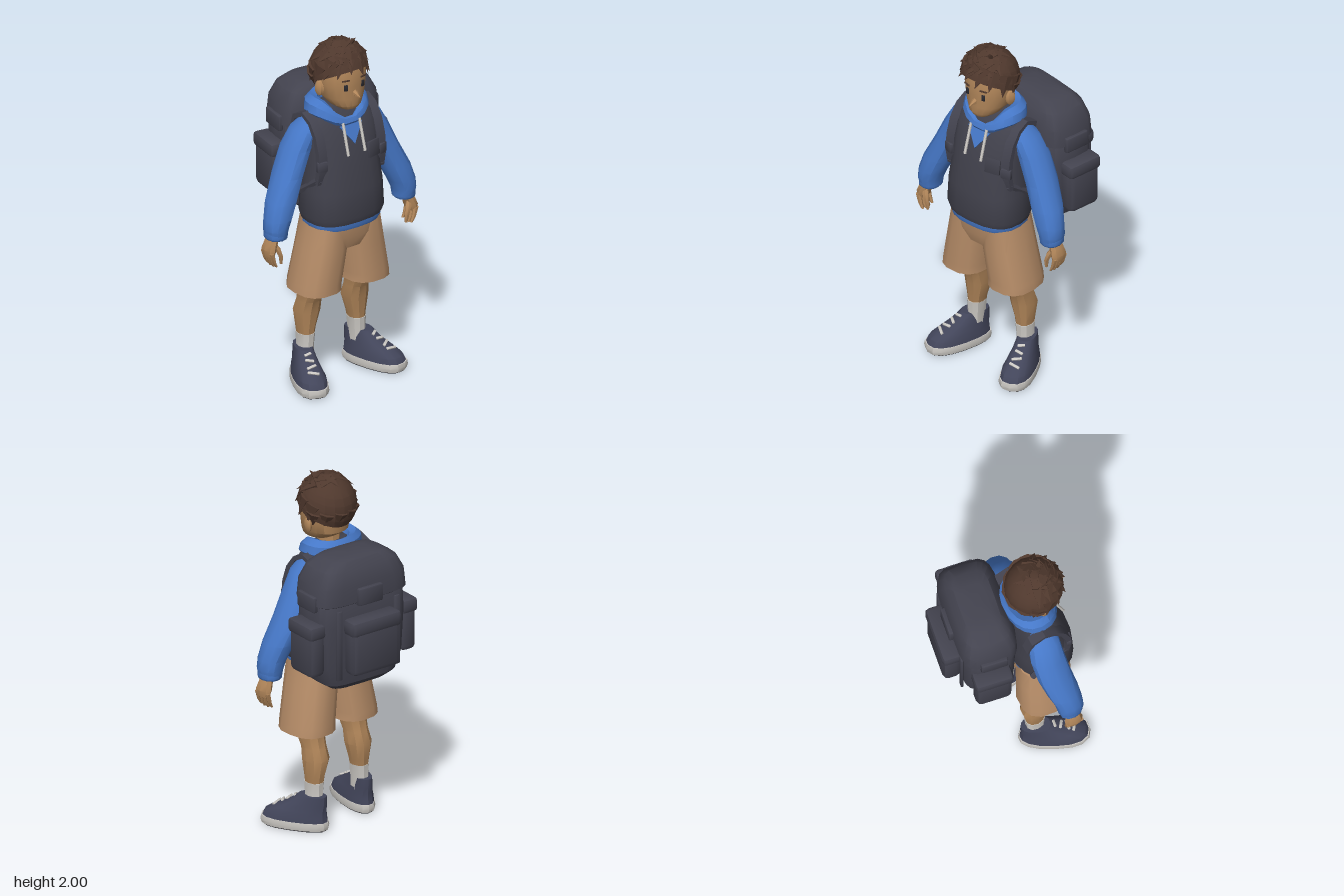
import * as THREE from 'three';
import { toCreasedNormals } from 'three/addons/utils/BufferGeometryUtils.js';
import { RoundedBoxGeometry } from 'three/addons/geometries/RoundedBoxGeometry.js';

const mat = (name, color) => Object.assign(new THREE.MeshStandardMaterial({ color }), { name });
const V = (x, y, z) => new THREE.Vector3(x, y, z);

// Stack of horizontal superellipse rings [y, cx, cz, rx, rz, frontDip], bottom to top, capped
function loft(rings, segs = 14, power = 2.2) {
  const pos = [], idx = [];
  for (const [y, cx, cz, rx, rz, dip = 0] of rings) {
    for (let j = 0; j < segs; j++) {
      const a = (j / segs) * Math.PI * 2, c = Math.cos(a), s = Math.sin(a), e = 2 / power;
      pos.push(cx + rx * Math.sign(c) * Math.abs(c) ** e,
        y - dip * Math.max(0, s) ** 3,
        cz + rz * Math.sign(s) * Math.abs(s) ** e);
    }
  }
  const n = rings.length, first = n * segs, last = first + 1;
  for (const r of [rings[0], rings[n - 1]]) pos.push(r[1], r[0] - (r[5] || 0) * 0.3, r[2]);
  for (let j = 0; j < segs; j++) {
    const k = (j + 1) % segs;
    for (let i = 0; i < n - 1; i++) {
      const a = i * segs + j, b = i * segs + k;
      idx.push(a, a + segs, b, b, a + segs, b + segs);
    }
    idx.push(first, j, k, last, (n - 1) * segs + k, (n - 1) * segs + j);
  }
  const g = new THREE.BufferGeometry();
  g.setAttribute('position', new THREE.Float32BufferAttribute(pos, 3));
  g.setIndex(idx);
  return g;
}

// Tapered flat rod from a to b; "out" is the direction its thin side faces
function rod(a, b, w, t, out, tip = 0) {
  const y = b.clone().sub(a), len = y.length();
  y.normalize();
  const x = y.clone().cross(out).normalize(), z = x.clone().cross(y);
  const m = new THREE.Matrix4().makeBasis(x, y, z).scale(V(w, len, t));
  m.setPosition(a.clone().add(b).multiplyScalar(0.5));
  return new THREE.CylinderGeometry(tip, 1, 1, 6).applyMatrix4(m);
}

export function createModel() {
  const skin = mat('skin', 0xb08559), hairMat = mat('hair brown', 0x4f382d);
  const blue = mat('hoodie blue', 0x4678c8), vestMat = mat('vest charcoal', 0x41414c);
  const packMat = mat('pack charcoal', 0x43434f), tan = mat('shorts tan', 0xb88e69);
  const shoeMat = mat('shoe navy', 0x42455a), white = mat('off white', 0xcac7c2);
  const dark = mat('dark', 0x2b2a30);
  hairMat.side = THREE.DoubleSide;

  const model = new THREE.Group();
  model.name = 'backpacker';
  const add = (name, geo, material, parent = model, crease = 0.6) => {
    const mesh = new THREE.Mesh(toCreasedNormals(geo, crease), material);
    mesh.name = name;
    parent.add(mesh);
    return mesh;
  };
  const box = (name, w, h, d, r, x, y, z, material, parent) => {
    const mesh = add(name, new RoundedBoxGeometry(w, h, d, 1, r), material, parent);
    mesh.position.set(x, y, z);
    return mesh;
  };

  // Torso
  add('vest', loft([
    [0.965, 0, 0.185, 0.222, 0.162], [1.0, 0, 0.185, 0.235, 0.172], [1.15, 0, 0.185, 0.228, 0.165],
    [1.3, 0, 0.175, 0.215, 0.15], [1.4, 0, 0.165, 0.218, 0.14], [1.5, 0, 0.155, 0.222, 0.115],
    [1.57, 0, 0.145, 0.185, 0.09], [1.62, 0, 0.14, 0.1, 0.06]], 20, 2.6), vestMat);
  add('hoodieHem', loft([[0.93, 0, 0.182, 0.208, 0.155], [0.945, 0, 0.182, 0.216, 0.16],
    [0.98, 0, 0.183, 0.216, 0.16]], 20, 2.6), blue);
  add('hood', loft([
    [1.54, 0, 0.145, 0.15, 0.115, 0.05], [1.585, 0, 0.14, 0.185, 0.14, 0.06], [1.63, 0, 0.135, 0.175, 0.137, 0.08],
    [1.66, 0, 0.135, 0.14, 0.118, 0.11], [1.645, 0, 0.14, 0.105, 0.095, 0.13], [1.57, 0, 0.14, 0.075, 0.075, 0.08]], 18), blue);
  const vee = new THREE.Shape([new THREE.Vector2(-0.075, 0.11), new THREE.Vector2(0, 0), new THREE.Vector2(0.075, 0.11)]);
  const neck = add('neckPanel', new THREE.ExtrudeGeometry(vee, { depth: 0.009, bevelEnabled: false }), blue);
  neck.position.set(0, 1.41, 0.3);
  neck.rotation.x = -0.35;
  const pocket = box('chestPocket', 0.09, 0.09, 0.014, 0.004, 0.125, 1.35, 0.304, vestMat);
  pocket.rotation.set(-0.13, 0.25, 0);

  // Head
  add('neck', loft([[1.48, 0, 0.145, 0.07, 0.065], [1.6, 0, 0.155, 0.062, 0.062], [1.7, 0, 0.16, 0.062, 0.065]], 10), skin);
  add('head', loft([
    [1.615, 0, 0.235, 0.055, 0.06], [1.636, 0, 0.21, 0.086, 0.097], [1.68, 0, 0.18, 0.116, 0.128],
    [1.75, 0, 0.175, 0.13, 0.134], [1.83, 0, 0.172, 0.135, 0.138], [1.92, 0, 0.172, 0.105, 0.11]], 18), skin);
  add('nose', rod(V(0, 1.713, 0.295), V(0, 1.7, 0.355), 0.02, 0.024, V(0, 1, 0)), skin);

  // Hair: a cap with a sloping hairline, then rows of swept tufts
  const hair = new THREE.Group();
  hair.name = 'hair';
  model.add(hair);
  const hairLine = (az) => 1.72 - 0.5 * Math.sin(az) + (Math.sin(az) > 0 ? 0.06 : 0);
  const onHair = (az, phi, r) => V(-0.008 + 0.157 * r * Math.sin(phi) * Math.cos(az),
    1.812 + 0.16 * r * Math.cos(phi), 0.172 + 0.16 * r * Math.sin(phi) * Math.sin(az));
  const cap = new THREE.SphereGeometry(1, 18, 8, 0, Math.PI * 2, 0, 1);
  const cp = cap.attributes.position;
  for (let i = 0; i < cp.count; i++) {
    const az = Math.atan2(cp.getZ(i), cp.getX(i)), v = Math.acos(Math.min(1, cp.getY(i)));
    const p = onHair(az, v * hairLine(az), 1.02);
    cp.setXYZ(i, p.x, p.y, p.z);
  }
  add('hairCap', cap, hairMat, hair, 0.4);
  const tuft = (az, p0, p1, sweep, w, r1 = 1.08) => {
    const a = onHair(az, p0, 0.97), b = onHair(az + sweep, p1, r1);
    add('hairTuft', rod(a, b, w, 0.022, a.clone().sub(V(0, 1.8, 0.17))), hairMat, hair, 0.3);
  };
  for (let i = 0; i < 9; i++) {
    const az = -0.25 + i * 0.46; // fringe and temples
    tuft(az, hairLine(az) - 0.55, hairLine(az) + 0.12 + 0.08 * (i % 2), 0.22, 0.05);
  }
  for (let i = 0; i < 8; i++) tuft(0.2 + i * 0.42, 0.5, 1.08 + 0.1 * (i % 2), 0.28, 0.055, 1.12);
  for (let i = 0; i < 7; i++) tuft(i * 0.9, 0.15, 0.72, 0.4, 0.06, 1.09);
  for (let i = 0; i < 6; i++) tuft(3.5 + i * 0.5, 1.6, 2.2, 0.15, 0.045, 1.0);
  add('crownTuft', rod(V(0.02, 1.94, 0.2), V(0.055, 1.998, 0.24), 0.035, 0.025, V(0, 0, 1)), hairMat, hair);

  for (const s of [1, -1]) {
    // Face details and drawstrings
    const ear = add('ear', new THREE.SphereGeometry(1, 8, 6).scale(0.02, 0.045, 0.03), skin);
    ear.position.set(s * 0.136, 1.73, 0.172);
    ear.rotation.y = -s * 0.3;
    const eye = box('eye', 0.021, 0.036, 0.008, 0.003, s * 0.056, 1.752, 0.3, dark);
    eye.rotation.y = s * 0.25;
    const brow = box('eyebrow', 0.045, 0.009, 0.008, 0.003, s * 0.058, 1.795, 0.302, hairMat);
    brow.rotation.y = s * 0.25;
    add('drawstring', rod(V(s * 0.055, 1.535, 0.272), V(s * 0.056, 1.36, 0.322), 0.008, 0.008, V(0, 0, 1), 1), white);

    // Sleeve, cuff and hand
    add('sleeve', loft([
      [0.945, s * 0.425, 0.17, 0.058, 0.066], [0.985, s * 0.427, 0.17, 0.065, 0.074], [1.04, s * 0.412, 0.168, 0.075, 0.078],
      [1.13, s * 0.378, 0.152, 0.083, 0.088], [1.26, s * 0.32, 0.13, 0.078, 0.094], [1.4, s * 0.258, 0.12, 0.076, 0.094],
      [1.5, s * 0.205, 0.127, 0.068, 0.085], [1.56, s * 0.165, 0.135, 0.04, 0.055]], 12), blue);
    add('cuff', loft([[0.93, s * 0.428, 0.17, 0.055, 0.062], [0.94, s * 0.428, 0.17, 0.061, 0.068],
      [0.968, s * 0.427, 0.17, 0.061, 0.068]], 12), blue);
    add('palm', loft([[0.84, s * 0.476, 0.17, 0.022, 0.045], [0.875, s * 0.473, 0.17, 0.031, 0.052],
      [0.915, s * 0.458, 0.17, 0.032, 0.042], [0.96, s * 0.438, 0.17, 0.032, 0.036]], 8), skin);
    for (let i = 0; i < 4; i++) {
      const z = 0.133 + i * 0.025, low = 0.768 + 0.006 * Math.abs(i - 1.5);
      add('finger', loft([[low, s * 0.452, z, 0.007, 0.008], [low + 0.03, s * 0.468, z, 0.012, 0.012],
        [0.86, s * 0.482, z, 0.016, 0.0135]], 6), skin);
    }
    add('thumb', loft([[0.785, s * 0.419, 0.205, 0.007, 0.008], [0.83, s * 0.422, 0.208, 0.013, 0.013],
      [0.875, s * 0.438, 0.2, 0.018, 0.018], [0.91, s * 0.455, 0.185, 0.012, 0.012]], 6), skin);

    // Shorts leg, leg and sock
    add('shortsLeg', loft([[0.555, s * 0.16, 0.155, 0.13, 0.15], [0.6, s * 0.158, 0.156, 0.127, 0.149],
      [0.8, s * 0.123, 0.166, 0.12, 0.147], [0.96, s * 0.11, 0.172, 0.1, 0.14]], 14, 2.6), tan);
    add('leg', loft([[0.22, s * 0.17, 0.092, 0.04, 0.048], [0.3, s * 0.168, 0.091, 0.05, 0.057],
      [0.4, s * 0.16, 0.09, 0.071, 0.073], [0.47, s * 0.158, 0.108, 0.064, 0.068],
      [0.53, s * 0.158, 0.13, 0.069, 0.078], [0.66, s * 0.15, 0.145, 0.08, 0.095]], 10), skin);
    add('sock', loft([[0.12, s * 0.178, 0.09, 0.046, 0.056], [0.2, s * 0.172, 0.092, 0.043, 0.053],
      [0.27, s * 0.17, 0.092, 0.048, 0.057]], 10), white);

    // Shoe, turned outward, wider at the toe
    const shoe = new THREE.Group();
    shoe.name = 'shoe';
    shoe.position.set(s * 0.222, 0, 0.182);
    shoe.rotation.y = s * 0.36;
    model.add(shoe);
    const widen = (g) => {
      const p = g.attributes.position;
      for (let i = 0; i < p.count; i++) p.setX(i, p.getX(i) * (1 + 0.9 * p.getZ(i)));
      return g;
    };
    add('outsole', widen(loft([[0, 0, 0, 0.078, 0.182], [0.008, 0, 0, 0.081, 0.187]], 16, 2.5)), dark, shoe);
    add('midsole', widen(loft([[0.006, 0, 0, 0.083, 0.189], [0.028, 0, 0, 0.088, 0.195],
      [0.05, 0, 0, 0.085, 0.191]], 16, 2.5)), white, shoe);
    add('shoeUpper', widen(loft([[0.045, 0, 0, 0.083, 0.188], [0.08, 0, -0.006, 0.079, 0.176],
      [0.11, 0, -0.03, 0.069, 0.15], [0.15, 0, -0.073, 0.06, 0.11], [0.195, 0, -0.1, 0.052, 0.08]], 16, 2.4)), shoeMat, shoe);
    for (let i = 0; i < 4; i++) {
      const t = i / 3;
      const lace = box('lace', 0.065 - 0.008 * i, 0.011, 0.016, 0.004, 0, 0.118 + 0.062 * t, 0.108 - 0.108 * t, white, shoe);
      lace.rotation.set(0.55, i % 2 ? 0.3 : -0.3, 0);
    }

    // Shoulder strap: ribbon outline in side profile, extruded across its width
    const line = [[0.02, 1.46], [0.05, 1.555], [0.13, 1.592], [0.2, 1.56], [0.25, 1.49], [0.279, 1.4], [0.288, 1.3], [0.27, 1.21]];
    const inner = line.map(([z, y]) => [0.13 + (z - 0.13) * 0.8, 1.3 + (y - 1.3) * 0.92]).reverse();
    const outline = new THREE.Shape([...line, ...inner].map(([z, y]) => new THREE.Vector2(z, y)));
    const strap = new THREE.ExtrudeGeometry(outline, { depth: 0.055, bevelEnabled: false }).rotateY(-Math.PI / 2);
    add('shoulderStrap', strap.translate(s * 0.195 + 0.0275, 0, 0), packMat);
    const buckle = box('strapBuckle', 0.06, 0.06, 0.03, 0.008, s * 0.2, 1.32, 0.278, packMat);
    buckle.rotation.y = s * 0.3;
    add('lowerStrap', rod(V(s * 0.205, 1.24, 0.265), V(s * 0.225, 1.08, 0.05), 0.02, 0.018, V(s, 0, 0), 1), packMat);
  }
  add('shortsSeat', loft([[0.8, 0, 0.168, 0.14, 0.125], [0.87, 0, 0.17, 0.218, 0.147],
    [0.97, 0, 0.175, 0.21, 0.148]], 18, 2.6), tan);

  // Backpack, turned a little about the vertical
  const pack = new THREE.Group();
  pack.name = 'backpack';
  pack.position.set(0.1, 0, -0.115);
  pack.rotation.y = -0.15;
  model.add(pack);
  add('packBody', loft([[0.92, 0, 0, 0.18, 0.1], [0.955, 0, 0, 0.23, 0.135], [1.06, 0, 0, 0.268, 0.15],
    [1.3, 0, 0, 0.285, 0.152], [1.42, 0, 0, 0.28, 0.148], [1.45, 0, 0, 0.26, 0.135]], 20, 4.5), packMat, pack);
  add('packLid', loft([[1.415, 0, 0, 0.27, 0.14], [1.43, 0, 0, 0.293, 0.163], [1.53, 0, 0, 0.282, 0.16],
    [1.61, 0, 0, 0.24, 0.135], [1.65, 0, 0, 0.175, 0.1], [1.66, 0, 0, 0.1, 0.06]], 20, 4.5), packMat, pack);
  box('backPocket', 0.31, 0.3, 0.1, 0.03, 0.0, 1.18, -0.187, packMat, pack);
  box('backPocketFlap', 0.325, 0.09, 0.11, 0.025, 0.0, 1.305, -0.188, packMat, pack);
  box('lidClasp', 0.16, 0.1, 0.035, 0.01, 0.0, 1.46, -0.165, packMat, pack);
  for (const s of [1, -1]) {
    box('sidePocket', 0.1, 0.28, 0.2, 0.03, s * 0.302, 1.17, -0.015, packMat, pack);
    box('sidePocketFlap', 0.11, 0.08, 0.212, 0.02, s * 0.304, 1.29, -0.015, packMat, pack);
    box('sideTab', 0.03, 0.09, 0.15, 0.01, s * 0.29, 1.435, 0.0, packMat, pack);
    box('backStrap', 0.035, 0.4, 0.014, 0.005, s * 0.19, 1.2, -0.152, packMat, pack);
  }
  return model;
}
